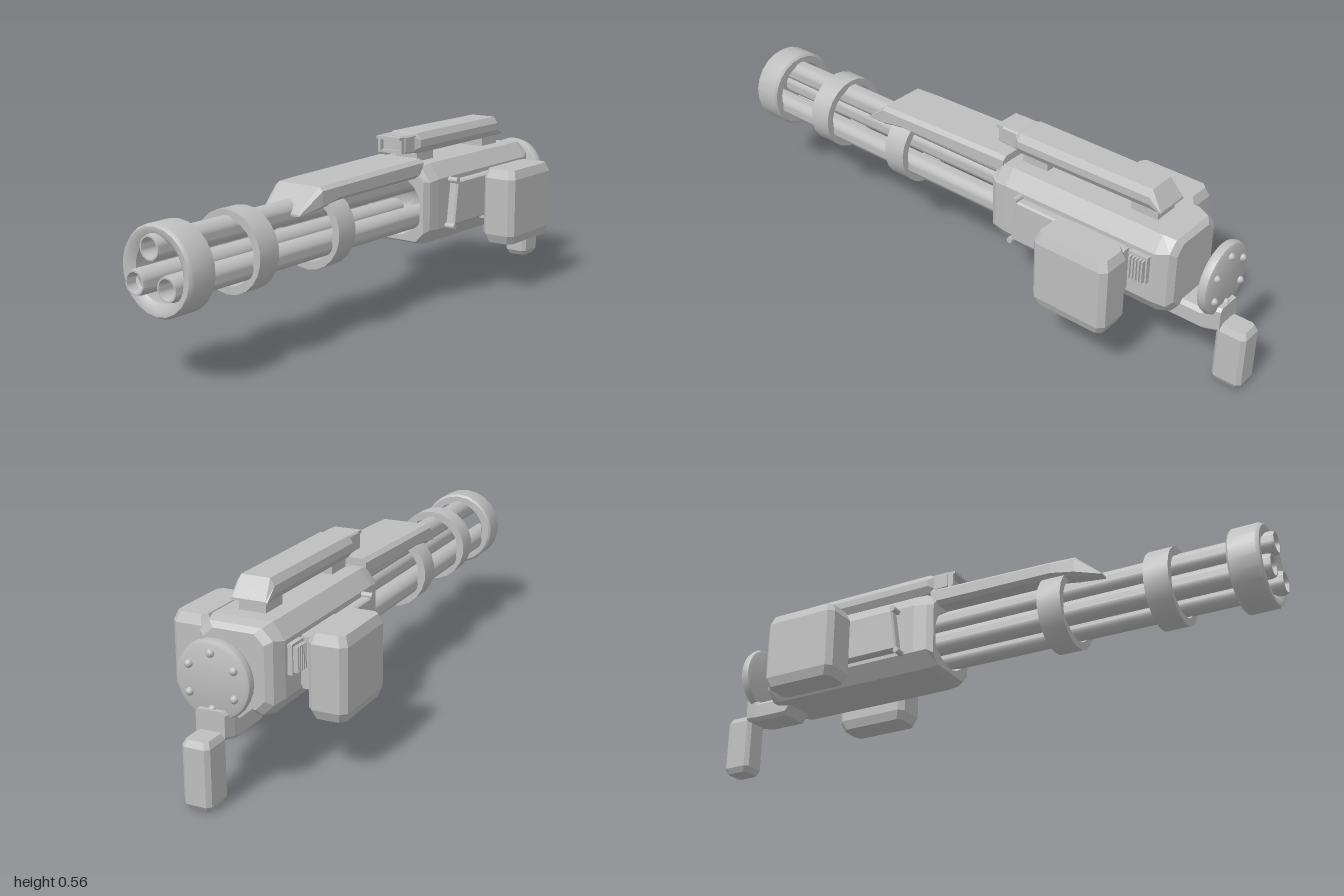
import * as THREE from 'three';
import { toCreasedNormals } from 'three/addons/utils/BufferGeometryUtils.js';

const AXIS_Y = 0.327;

// Cross-section: rectangle with cut corners (cx across, cy up), anticlockwise.
function section(z, hw, y0, y1, cx, cy = cx) {
  return [
    [hw - cx, y0], [hw, y0 + cy], [hw, y1 - cy], [hw - cx, y1],
    [cx - hw, y1], [-hw, y1 - cy], [-hw, y0 + cy], [cx - hw, y0],
  ].map(([x, y]) => [x, y, z]);
}

// Skin over cross-sections ordered from low z to high z.
function loft(sections, capEnd = true) {
  const p = [];
  const tri = (a, b, c) => p.push(...a, ...b, ...c);
  const n = sections[0].length;
  for (let s = 0; s < sections.length - 1; s++) {
    const a = sections[s], b = sections[s + 1];
    for (let i = 0; i < n; i++) {
      const j = (i + 1) % n;
      tri(a[i], a[j], b[j]);
      tri(a[i], b[j], b[i]);
    }
  }
  const first = sections[0], last = sections[sections.length - 1];
  for (let i = 1; i < n - 1; i++) {
    tri(first[0], first[i + 1], first[i]);
    if (capEnd) tri(last[0], last[i], last[i + 1]);
  }
  const g = new THREE.BufferGeometry();
  g.setAttribute('position', new THREE.Float32BufferAttribute(p, 3));
  g.computeVertexNormals();
  return g;
}

// Turned part about the z axis from [radius, z] points.
function turned(points, sides) {
  const g = new THREE.LatheGeometry(points.map(([r, z]) => new THREE.Vector2(r, z)), sides);
  return toCreasedNormals(g.rotateX(Math.PI / 2), 0.65);
}

export function createModel() {
  const model = new THREE.Group();
  const metal = new THREE.MeshStandardMaterial({ color: 0xbebebe });
  metal.name = 'grey metal';
  const add = (name, geometry, x = 0, y = 0, z = 0) => {
    const m = new THREE.Mesh(geometry, metal);
    m.name = name;
    m.position.set(x, y, z);
    model.add(m);
    return m;
  };
  const box = (w, h, d) => new THREE.BoxGeometry(w, h, d);

  // Three hollow barrels
  const tube = turned([[0.038, -0.2], [0.038, 0.985], [0.035, 1], [0.03, 1], [0.027, 0.99], [0.027, -0.2]], 24);
  for (let i = 0; i < 3; i++) {
    const a = Math.PI / 2 + i * Math.PI * 2 / 3;
    add('barrel', tube, Math.cos(a) * 0.07, AXIS_Y + Math.sin(a) * 0.07);
  }

  // Muzzle ring and barrel clamps
  add('muzzleRing', turned([
    [0.1, 0.88], [0.125, 0.88], [0.132, 0.887], [0.132, 0.97], [0.125, 0.98],
    [0.11, 0.98], [0.09, 0.965], [0.09, 0.9], [0.1, 0.88],
  ], 22), 0, AXIS_Y);
  for (const z of [0.265, 0.62]) {
    add('barrelClamp', turned([[0.1, 0], [0.125, 0], [0.125, 0.08], [0.1, 0.08], [0.1, 0]], 22), 0, AXIS_Y, z);
  }

  // Receiver with a round socket in its front face
  add('receiver', loft([
    section(-0.785, 0.095, 0.225, 0.445, 0.03),
    section(-0.77, 0.115, 0.208, 0.46, 0.033),
    section(-0.73, 0.13, 0.2, 0.468, 0.036, 0.05),
    section(-0.18, 0.13, 0.2, 0.468, 0.036, 0.05),
    section(-0.135, 0.125, 0.203, 0.462, 0.036, 0.05),
    section(-0.115, 0.112, 0.212, 0.446, 0.03),
  ], false));
  const face = new THREE.Shape(section(0, 0.112, 0.212, 0.446, 0.03).map(([x, y]) => new THREE.Vector2(x, y)));
  face.holes.push(new THREE.Path().absarc(0, AXIS_Y, 0.1, 0, Math.PI * 2, true));
  add('receiverFace', new THREE.ShapeGeometry(face, 16), 0, 0, -0.115);
  add('barrelSocket', turned([[0.1, -0.115], [0.09, -0.16], [0.06, -0.2], [0, -0.22]], 32), 0, AXIS_Y);

  // Tapered shroud over the barrels
  add('shroud', loft([
    section(-0.14, 0.094, 0.425, 0.487, 0.014, 0.012),
    section(0.3, 0.094, 0.42, 0.477, 0.014, 0.012),
    section(0.38, 0.092, 0.405, 0.474, 0.014, 0.012),
    section(0.465, 0.072, 0.395, 0.402, 0.01, 0.002),
  ]));

  // Top rail on two feet, with a framed front opening
  add('topRail', loft([
    section(-0.695, 0.058, 0.5, 0.507, 0.006, 0.002),
    section(-0.655, 0.06, 0.497, 0.565, 0.014, 0.022),
    section(-0.17, 0.063, 0.497, 0.565, 0.014, 0.022),
    section(-0.15, 0.048, 0.503, 0.56, 0.006),
  ]));
  add('railNose', loft([
    section(-0.16, 0.05, 0.5, 0.562, 0.005),
    section(-0.1, 0.05, 0.504, 0.562, 0.005),
  ]));
  for (const s of [-1, 1]) {
    add('noseSide', box(0.01, 0.052, 0.02), s * 0.042, 0.532, -0.092);
    add('noseBar', box(0.094, 0.01, s > 0 ? 0.03 : 0.015), 0, 0.532 + s * 0.023, s > 0 ? -0.088 : -0.096);
  }
  for (const z of [-0.225, -0.63]) add('railFoot', box(0.086, 0.045, 0.095), 0, 0.482, z);

  // Both sides: panel, bolts, vent and ammunition box
  const panel = new THREE.Shape([[0.23, 0.265], [0.25, 0.4], [0.64, 0.4], [0.64, 0.265]]
    .map(([x, y]) => new THREE.Vector2(x, y)));
  const panelGeometry = new THREE.ExtrudeGeometry(panel, {
    depth: 0.023, bevelThickness: 0.006, bevelSize: 0.005, bevelSegments: 1,
  }).rotateY(Math.PI / 2);
  const pod = loft([
    section(0.17, 0.05, -0.12, 0.12, 0.016),
    section(0.2, 0.061, -0.133, 0.133, 0.018),
    section(0.395, 0.061, -0.133, 0.133, 0.018),
    section(0.425, 0.05, -0.12, 0.12, 0.016),
  ]).rotateX(-Math.PI / 2);
  const bolt = new THREE.CylinderGeometry(0.01, 0.01, 0.045, 12).rotateZ(Math.PI / 2);
  for (const s of [-1, 1]) {
    add('sidePanel', panelGeometry, s * 0.145 - 0.012, 0, 0);
    add('ammoBox', pod, s * 0.219, 0, -0.533);
    add('boxMount', box(0.04, 0.16, 0.2), s * 0.15, 0.325, -0.533);
    add('bolt', bolt, s * 0.143, 0.255, -0.225);
    add('bolt', bolt, s * 0.143, 0.408, -0.242);
    add('ventPlate', box(0.02, 0.09, 0.065), s * 0.135, 0.36, -0.685);
    for (let i = 0; i < 5; i++) {
      add('ventSlat', box(0.03, 0.075, 0.006), s * 0.145, 0.36, -0.665 - i * 0.011);
    }
  }

  // Rear bracket and riveted end disc
  add('rearBracket', loft([
    section(-0.915, 0.045, 0.18, 0.262, 0.01),
    section(-0.88, 0.055, 0.175, 0.262, 0.01),
    section(-0.86, 0.057, 0.17, 0.24, 0.012),
    section(-0.74, 0.057, 0.17, 0.24, 0.012),
    section(-0.71, 0.057, 0.21, 0.24, 0.01),
  ]));
  add('endDisc', turned([
    [0, -0.9], [0.1, -0.9], [0.112, -0.895], [0.116, -0.882], [0.112, -0.869], [0.1, -0.865], [0, -0.865],
  ], 28), 0, 0.34);
  const rivet = new THREE.SphereGeometry(0.012, 10, 8);
  for (let i = 0; i < 6; i++) {
    const a = Math.PI / 6 + i * Math.PI / 3;
    add('rivet', rivet, Math.cos(a) * 0.08, 0.34 + Math.sin(a) * 0.08, -0.902);
  }

  // Hanging rear grip
  add('grip', loft([
    section(0, 0.033, -0.038, 0.038, 0.008),
    section(0.018, 0.043, -0.05, 0.05, 0.012),
    section(0.185, 0.043, -0.05, 0.05, 0.012),
    section(0.203, 0.034, -0.04, 0.04, 0.01),
  ]).rotateX(-Math.PI / 2), 0, 0, -0.95);

  return model;
}
